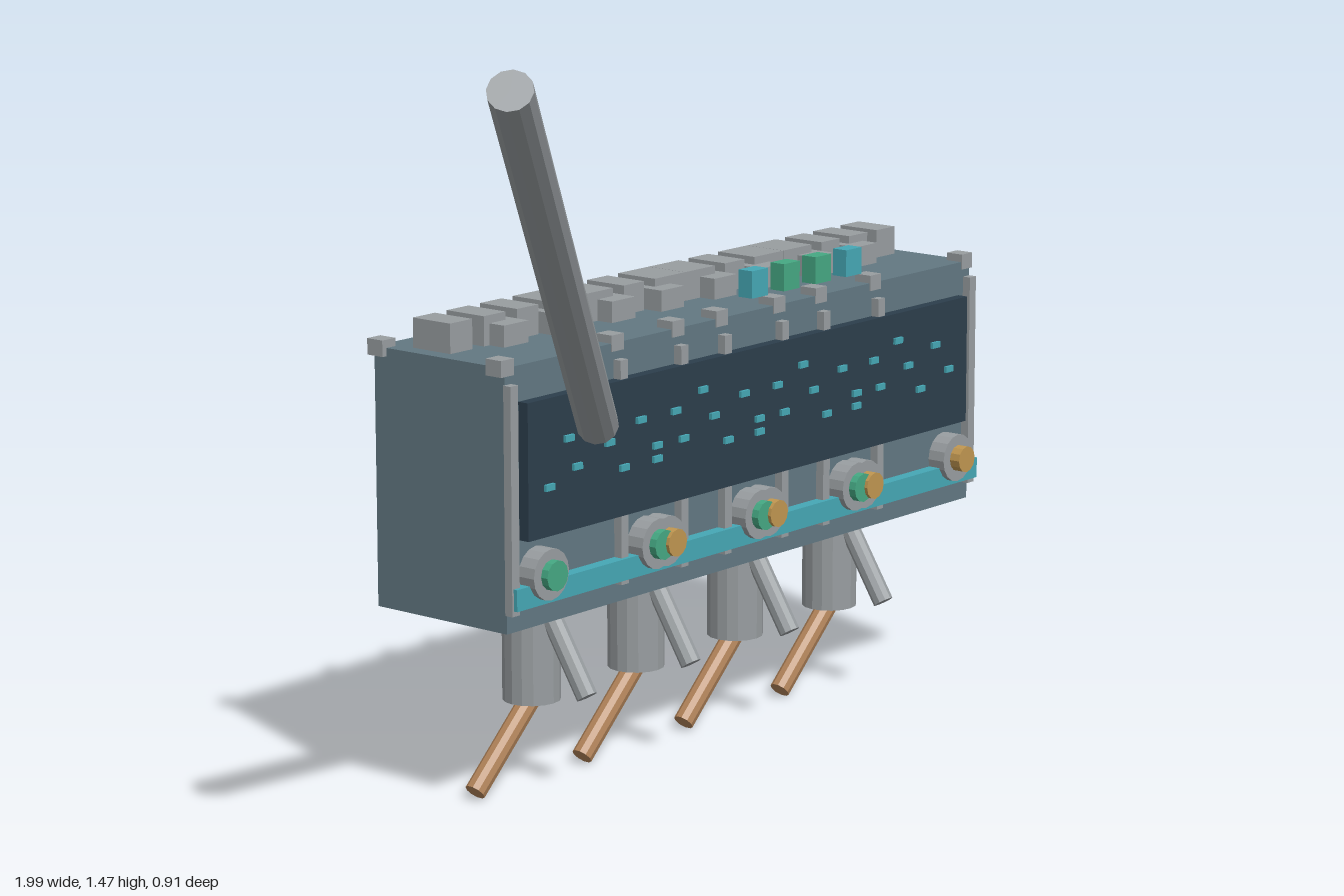
import * as THREE from 'three';

const mat = (name, color, flat = false) => {
  const m = new THREE.MeshStandardMaterial({ color, flatShading: flat });
  m.name = name;
  return m;
};

export function createModel() {
  const root = new THREE.Group();
  root.name = 'machineBank';
  const steel = mat('blueGreySteel', 0x627882);
  const dark = mat('darkPanel', 0x2c3e4c);
  const grey = mat('lightGreyMetal', 0x989da0, true);
  const cyan = mat('cyan', 0x45a7b5);
  const green = mat('green', 0x45a883, true);
  const gold = mat('gold', 0xbf9650, true);
  const brown = mat('copperBrown', 0xb08258, true);

  const add = (name, geo, m, parent = root) => {
    const mesh = new THREE.Mesh(geo, m);
    mesh.name = name;
    parent.add(mesh);
    return mesh;
  };
  // Box from its minimum and maximum corners
  const box = (name, m, x0, x1, y0, y1, z0, z1, parent) => {
    const b = add(name, new THREE.BoxGeometry(x1 - x0, y1 - y0, z1 - z0), m, parent);
    b.position.set((x0 + x1) / 2, (y0 + y1) / 2, (z0 + z1) / 2);
    return b;
  };
  // Cylinder running between two points
  const rod = (name, m, r, from, to, sides, parent) => {
    const a = new THREE.Vector3(...from), b = new THREE.Vector3(...to);
    const d = b.clone().sub(a);
    const c = add(name, new THREE.CylinderGeometry(r, r, d.length(), sides), m, parent);
    c.position.copy(a).add(b).multiplyScalar(0.5);
    c.quaternion.setFromUnitVectors(new THREE.Vector3(0, 1, 0), d.normalize());
    return c;
  };

  // Main housing, dark display and light strip
  box('housing', steel, -0.38, 0.985, 0.36, 0.84, -0.45, -0.137);
  box('displayPanel', dark, -0.345, 0.95, 0.525, 0.775, -0.137, -0.115);
  box('lightStrip', cyan, -0.38, 0.985, 0.405, 0.445, -0.137, -0.112);

  // Side handles
  for (const y of [0.46, 0.745]) box('sideHandle', grey, 0.985, 0.995, y - 0.016, y + 0.016, -0.35, -0.24);

  // Display lights: offset from module centre, height
  const lights = [[-0.15, 0.615], [-0.097, 0.695], [-0.075, 0.64], [-0.02, 0.722],
    [0.013, 0.668], [0.053, 0.615], [0.1, 0.695], [0.145, 0.64]];

  // Four overlapping modules
  for (let i = 0; i < 4; i++) {
    const cx = -0.142 + i * 0.295;
    const g = new THREE.Group();
    g.name = 'module' + (i + 1);
    g.position.x = cx;
    root.add(g);

    // Front ribs and corner clips
    for (const s of [-1, 1]) {
      const x = s * 0.232;
      box('frontRib', grey, x - 0.01, x + 0.01, 0.395, 0.81, -0.137, -0.12, g);
      for (const z of [-0.155, -0.44])
        box('cornerClip', grey, x - 0.017, x + 0.017, 0.825, 0.855, z - 0.017, z + 0.02, g);
      box('lowTopBlock', grey, s * 0.07 - 0.033, s * 0.07 + 0.033, 0.84, 0.88, -0.34, -0.26, g);
    }
    for (let k = -2; k <= 2; k++)
      box('tallTopBlock', grey, k * 0.0885 - 0.029, k * 0.0885 + 0.029, 0.84, 0.895, -0.385, -0.295, g);

    for (const [x, y] of lights)
      box('displayLight', cyan, x - 0.012, x + 0.012, y - 0.006, y + 0.006, -0.115, -0.109, g);

    // Knobs on round bases
    for (const [x, m, r, z] of [[-0.16, green, 0.028, -0.085], [0.162, gold, 0.026, -0.078]]) {
      rod('knobBase', grey, 0.047, [x, 0.46, -0.137], [x, 0.46, -0.1], 16, g);
      rod('knob', m, r, [x, 0.46, -0.1], [x, 0.46, z], 12, g);
    }

    // Spout, slanted tube and copper lever below
    rod('spout', grey, 0.054, [0, 0.163, -0.293], [0, 0.37, -0.293], 16, g);
    rod('slantedTube', grey, 0.02, [0, 0.19, -0.158], [0, 0.38, -0.277], 10, g);
    rod('copperLever', brown, 0.02, [0.005, 0.172, -0.293], [-0.156, 0.02, -0.293], 10, g);
  }

  // Long slanted pipe
  rod('longPipe', grey, 0.038, [-0.195, 0.715, -0.083], [-0.972, 1.445, 0.417], 12);

  // Floating indicator blocks
  [cyan, green, green, cyan].forEach((m, i) => {
    const x = -0.132 + i * 0.088;
    box('indicatorBlock', m, x - 0.022, x + 0.022, 0.976, 1.024, 0.205, 0.235);
  });

  return root;
}
